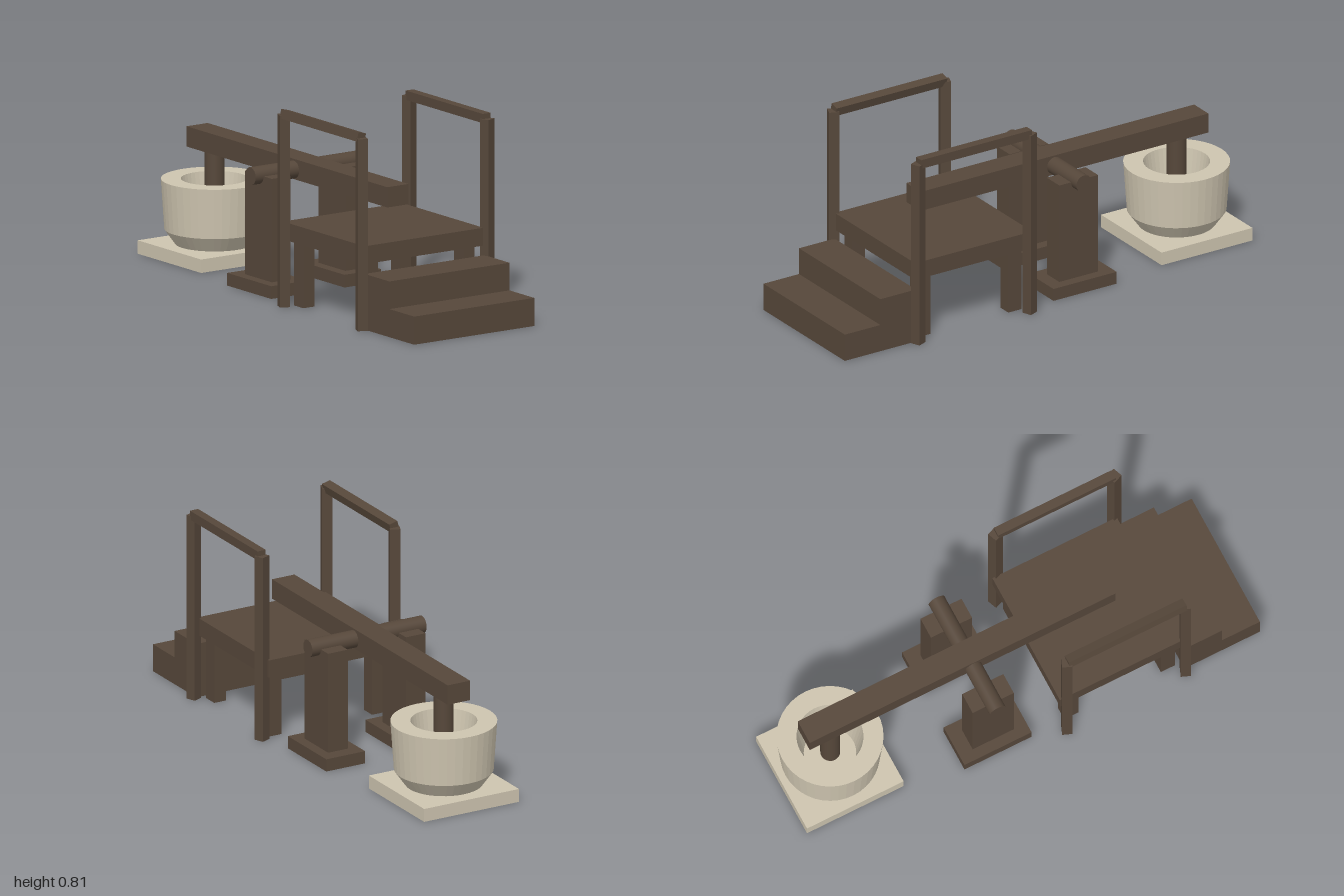
import * as THREE from 'three';
import { toCreasedNormals } from 'three/addons/utils/BufferGeometryUtils.js';

export function createModel() {
  const model = new THREE.Group();
  model.name = 'footMill';

  const wood = new THREE.MeshStandardMaterial({ color: 0x56473a });
  wood.name = 'darkWood';
  const stone = new THREE.MeshStandardMaterial({ color: 0xcdc4af });
  stone.name = 'paleStone';

  const add = (name, geometry, material, x = 0, y = 0, z = 0) => {
    const mesh = new THREE.Mesh(geometry, material);
    mesh.name = name;
    mesh.position.set(x, y, z);
    model.add(mesh);
    return mesh;
  };
  // Box given by its extents along each axis
  const box = (name, material, [x0, x1], [y0, y1], [z0, z1]) =>
    add(name, new THREE.BoxGeometry(x1 - x0, y1 - y0, z1 - z0), material,
      (x0 + x1) / 2, (y0 + y1) / 2, (z0 + z1) / 2);

  // Entry steps
  const steps = new THREE.Shape([[0.66, 0], [1, 0], [1, 0.115], [0.83, 0.115], [0.83, 0.228], [0.66, 0.228]]
    .map(([z, y]) => new THREE.Vector2(-z, y)).reverse());
  const stepGeometry = new THREE.ExtrudeGeometry(steps, { depth: 0.59, bevelEnabled: false });
  stepGeometry.translate(0, 0, -0.295).rotateY(Math.PI / 2);
  add('steps', stepGeometry, wood);

  // Standing platform
  box('platform', wood, [-0.295, 0.29], [0.268, 0.341], [0.1, 0.66]);

  for (const s of [-1, 1]) {
    const span = (a, b) => (s > 0 ? [a, b] : [-b, -a]);

    // Platform legs
    for (const z of [0.135, 0.57]) box('platformLeg', wood, span(0.21, 0.265), [0, 0.27], [z, z + 0.063]);

    // Handrail posts, turned a little about their length
    for (const z of [0.124, 0.658]) {
      const post = add('handrailPost', new THREE.BoxGeometry(0.042, 0.785, 0.042), wood, s * 0.308, 0.3925, z);
      post.rotation.y = s * 0.38;
    }

    // Handrail
    const rail = add('handrail', new THREE.BoxGeometry(0.038, 0.038, 0.53), wood, s * 0.308, 0.787, 0.391);
    rail.rotation.z = s < 0 ? -0.25 : 0;

    // Pivot stands
    box('standFoot', wood, span(0.09, 0.27), [0, 0.052], [-0.317, -0.015]);
    box('standPillar', wood, span(0.135, 0.226), [0.052, 0.475], [-0.257, -0.072]);
  }

  // Axle and tilting beam
  const axle = new THREE.CylinderGeometry(0.036, 0.036, 0.53, 24);
  axle.rotateZ(Math.PI / 2);
  add('axle', axle, wood, 0, 0.475, -0.164);
  box('beam', wood, [-0.052, 0.052], [0.435, 0.518], [-0.9, 0.477]);

  // Pestle hanging from the beam
  add('pestle', new THREE.CylinderGeometry(0.04, 0.04, 0.3, 24), wood, 0, 0.29, -0.781);

  // Mortar on its slab
  box('mortarSlab', stone, [-0.22, 0.22], [0, 0.055], [-1, -0.565]);
  const profile = [[0, 0.052], [0.155, 0.052], [0.2, 0.115], [0.214, 0.32], [0.134, 0.32], [0.105, 0.13], [0, 0.13]];
  const bowl = new THREE.LatheGeometry(profile.map(([r, y]) => new THREE.Vector2(r, y)), 40);
  add('mortar', toCreasedNormals(bowl, 0.1), stone, 0, 0, -0.782);

  return model;
}
